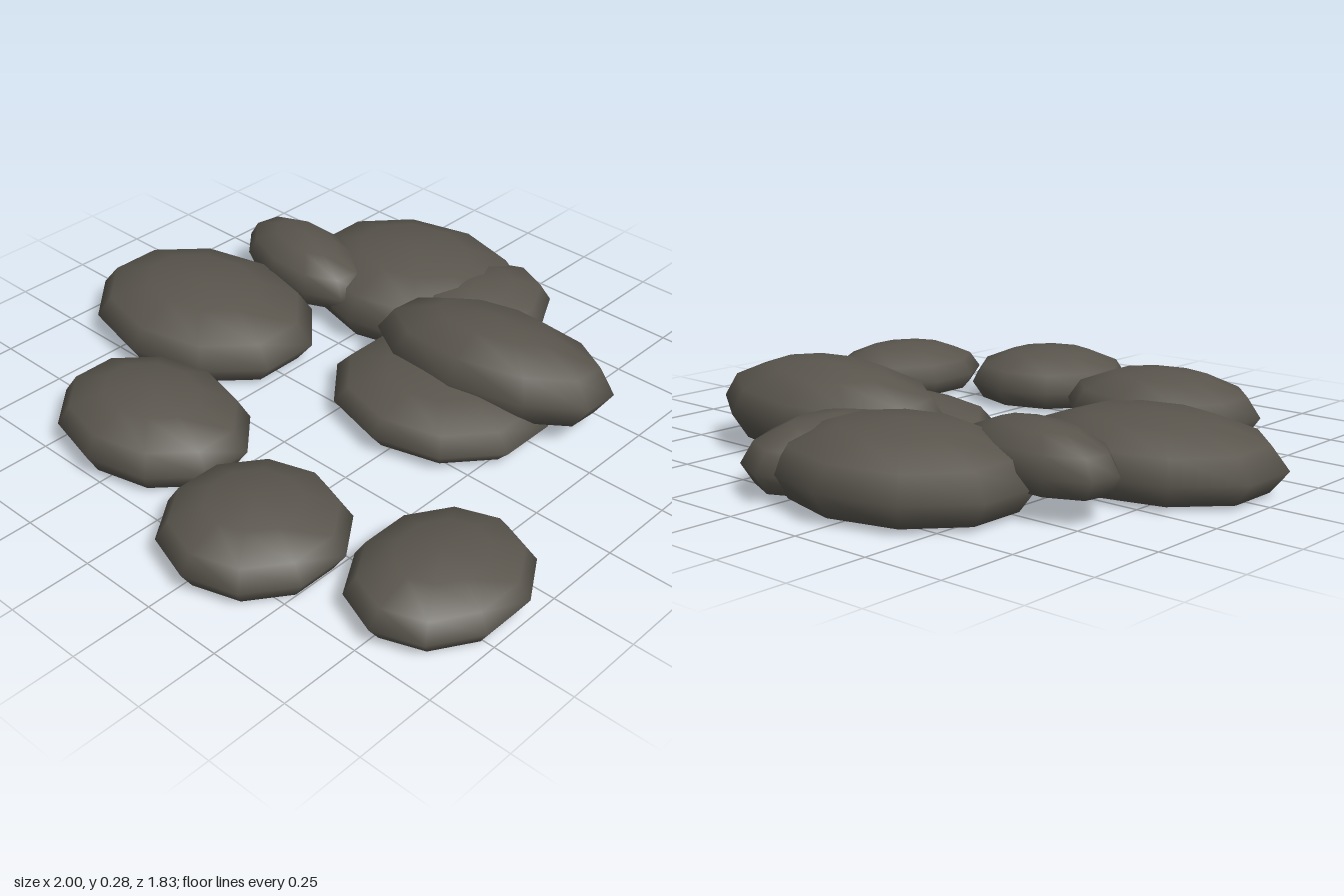
import * as THREE from 'three';
import { mergeVertices } from 'three/addons/utils/BufferGeometryUtils.js';

// Ten-sided pebble: squashed sphere with its underside pressed flat, base at y = 0
function pebbleGeometry(rx, ry, rz) {
  let geo = new THREE.SphereGeometry(1, 10, 6).rotateY(Math.PI / 2);
  geo.deleteAttribute('normal');
  geo.deleteAttribute('uv');
  geo = mergeVertices(geo, 1e-4);
  const p = geo.attributes.position;
  for (let i = 0; i < p.count; i++) {
    const y = p.getY(i);
    // the underside keeps a very slight bulge
    const flat = y < -0.55 ? -0.55 + (y + 0.55) * 0.11 : y;
    p.setXYZ(i, p.getX(i) * rx, flat * ry, p.getZ(i) * rz);
  }
  geo.computeVertexNormals();
  return geo;
}

export function createModel() {
  const group = new THREE.Group();
  const stone = new THREE.MeshStandardMaterial({ color: 0x5a564e });
  stone.name = 'dark stone';

  // name, x, z, radius x, radius z, underside y, top y, tilt [x, y, z]
  const stones = [
    ['leftStone', -0.61, 0.0, 0.41, 0.31, 0, 0.21],
    ['frontLeftStone', -0.285, 0.505, 0.33, 0.255, 0, 0.197],
    ['frontStone', 0.28, 0.64, 0.273, 0.27, 0, 0.178],
    ['frontRightStone', 0.77, 0.44, 0.239, 0.28, 0, 0.16],
    ['innerStone', 0.23, -0.19, 0.357, 0.305, 0, 0.158],
    ['backStone', -0.23, -0.595, 0.405, 0.325, 0, 0.23],
    ['backRightStone', 0.03, -0.585, 0.22, 0.305, 0.01, 0.2],
    ['restingLeftStone', -0.535, -0.395, 0.285, 0.15, 0.065, 0.24, [0, -0.2, 0]],
    ['restingRightStone', 0.29, -0.362, 0.41, 0.23, 0.04, 0.28, [-0.13, 0.06, 0.04]],
  ];

  for (const [name, x, z, rx, rz, base, top, tilt = [0, 0, 0]] of stones) {
    const ry = (top - base) / 1.6;
    const mesh = new THREE.Mesh(pebbleGeometry(rx, ry, rz), stone);
    mesh.name = name;
    mesh.position.set(x, top - ry, z);
    mesh.rotation.set(...tilt);
    group.add(mesh);
  }
  return group;
}
